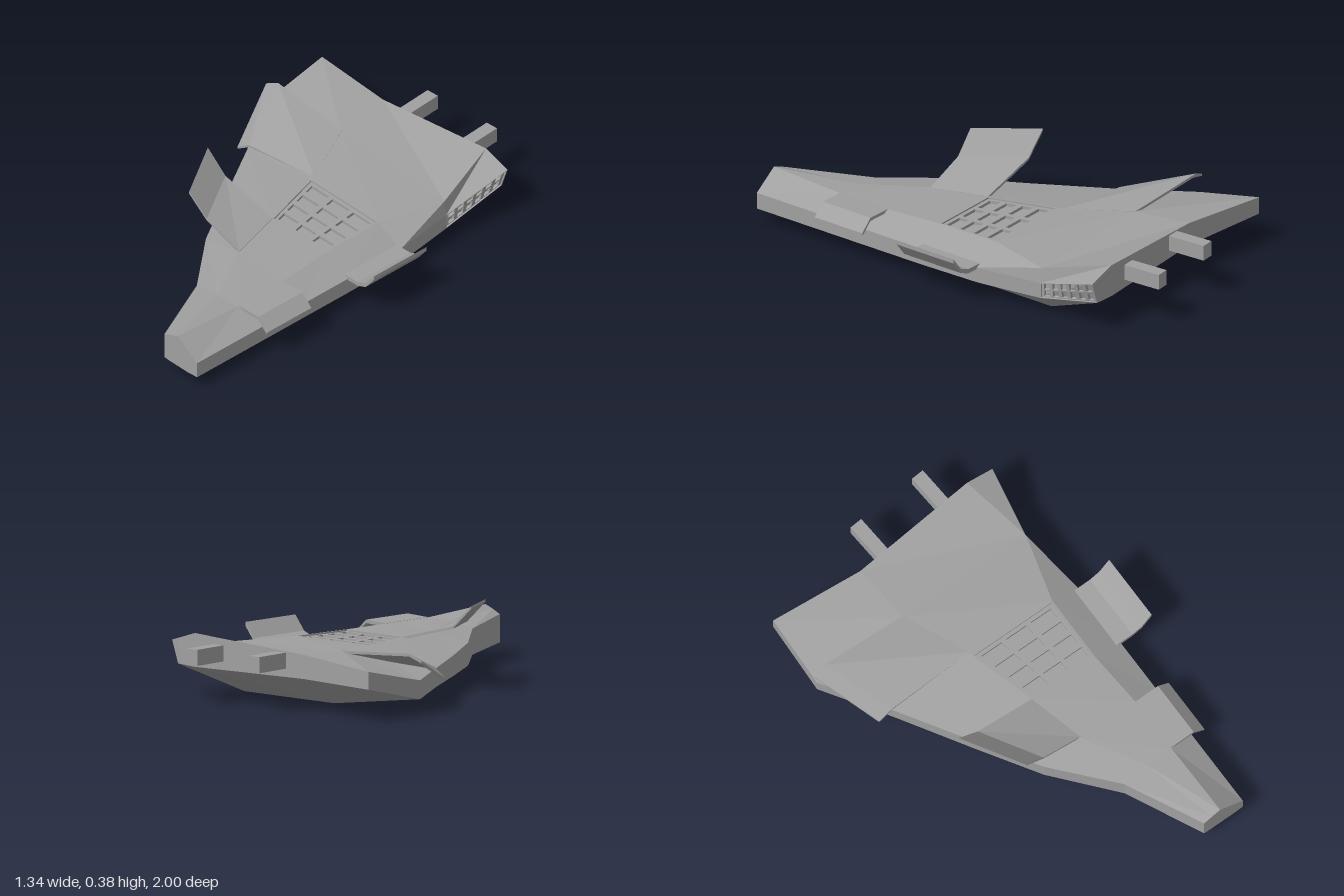
import * as THREE from 'three';

const material = new THREE.MeshStandardMaterial({ color: 0xa0a0a0, flatShading: true, side: THREE.DoubleSide });
const vec = (p) => new THREE.Vector3(...p);

function addMesh(group, name, geometry) {
  const mesh = new THREE.Mesh(geometry, material);
  mesh.name = name;
  group.add(mesh);
  return mesh;
}

// Joins closed cross-sections (front to back) and caps both ends; open cells are left out
function loft(sections, open = []) {
  const pos = [];
  const quad = (a, b, c, d) => [a, b, c, a, c, d].forEach((p) => pos.push(...p));
  const n = sections[0].length;
  for (let i = 0; i < sections.length - 1; i++) {
    for (let j = 0; j < n; j++) {
      if (open.some(([oi, oj]) => oi === i && oj === j)) continue;
      const k = (j + 1) % n;
      quad(sections[i][j], sections[i + 1][j], sections[i + 1][k], sections[i][k]);
    }
  }
  const first = sections[0], last = sections[sections.length - 1];
  for (let k = 0; k < n / 2 - 1; k++) {
    quad(first[k], first[k + 1], first[n - 2 - k], first[n - 1 - k]);
    quad(last[n - 1 - k], last[n - 2 - k], last[k + 1], last[k]);
  }
  const g = new THREE.BufferGeometry();
  g.setAttribute('position', new THREE.Float32BufferAttribute(pos, 3));
  g.computeVertexNormals();
  return g;
}

// Thin bent plate between a front and a back edge line
function plate(front, back, t = 0.012) {
  const loop = (pts) => [
    ...pts.map(([x, y, z]) => [x, y - t, z]),
    ...pts.slice().reverse(),
  ];
  return loft([loop(front), loop(back)]);
}

// Slotted grille sunk into a four-cornered opening, with a rim around and a floor behind it
function addGrille(group, name, [a, b, c, d], cols, rows) {
  const [A, B, C, D] = [a, b, c, d].map(vec);
  const normal = C.clone().sub(A).cross(D.clone().sub(B)).normalize();
  const place = (geometry, offset) => {
    const p = geometry.attributes.position;
    for (let i = 0; i < p.count; i++) {
      const u = p.getX(i), v = p.getY(i);
      const point = A.clone().lerp(B, u).lerp(D.clone().lerp(C, u), v);
      point.addScaledVector(normal, offset(p.getZ(i)));
      p.setXYZ(i, point.x, point.y, point.z);
    }
    geometry.computeVertexNormals();
    return geometry;
  };
  const rect = (Type, u0, v0, u1, v1) => new Type([
    new THREE.Vector2(u0, v0), new THREE.Vector2(u1, v0),
    new THREE.Vector2(u1, v1), new THREE.Vector2(u0, v1),
  ]);
  const slab = (shape) => new THREE.ExtrudeGeometry(shape, { depth: 1, bevelEnabled: false });

  const rim = rect(THREE.Shape, 0, 0, 1, 1);
  rim.holes.push(rect(THREE.Path, 0.015, 0.015, 0.985, 0.985));
  addMesh(group, name + 'Rim', place(slab(rim), (w) => (w - 1) * 0.022));

  const bars = rect(THREE.Shape, 0.01, 0.01, 0.99, 0.99);
  const du = 0.94 / cols, dv = 0.94 / rows;
  for (let i = 0; i < cols; i++) {
    for (let j = 0; j < rows; j++) {
      const u = 0.03 + i * du, v = 0.03 + j * dv;
      bars.holes.push(rect(THREE.Path, u + du * 0.18, v + dv * 0.09, u + du * 0.82, v + dv * 0.91));
    }
  }
  addMesh(group, name, place(slab(bars), (w) => w * 0.013 - 0.02));
  const floor = new THREE.PlaneGeometry(1, 1).translate(0.5, 0.5, 0);
  addMesh(group, name + 'Floor', place(floor, () => -0.022));
}

export function createModel() {
  const model = new THREE.Group();
  model.name = 'hullFragment';

  // Hull sections: left bottom, belly left, belly right, right bottom,
  // right shoulder, right ridge, middle ridge, left top
  const stations = [
    [1.0, [[0.30, 0.062], [0.33, 0.06], [0.45, 0.06], [0.505, 0.065], [0.505, 0.14], [0.385, 0.22], [0.34, 0.203], [0.30, 0.185]]],
    [0.65, [[0.13, 0.062], [0.18, 0.06], [0.45, 0.06], [0.505, 0.065], [0.505, 0.14], [0.385, 0.2], [0.26, 0.195], [0.13, 0.175]]],
    [0.38, [[-0.1, 0.065], [0, 0.06], [0.42, 0.06], [0.505, 0.065], [0.505, 0.14], [0.385, 0.2], [0.1, 0.198], [-0.1, 0.165]]],
    [0.11, [[-0.27, 0.066], [-0.1, 0.06], [0.38, 0.06], [0.505, 0.065], [0.505, 0.14], [0.365, 0.205], [0.03, 0.205], [-0.27, 0.155]]],
    [-0.2, [[-0.46, 0.068], [-0.15, 0], [0.38, 0], [0.505, 0.07], [0.505, 0.14], [0.365, 0.21], [-0.06, 0.21], [-0.46, 0.15]]],
    [-0.51, [[-0.66, 0.068], [-0.15, 0], [0.38, 0], [0.46, 0.07], [0.46, 0.14], [0.45, 0.21], [-0.2, 0.232], [-0.66, 0.15]]],
    [-0.83, [[-0.66, 0.142], [-0.23, 0.142, -0.785], [0.37, 0.14], [0.47, 0.145], [0.505, 0.245], [0.37, 0.287], [-0.23, 0.247, -0.785], [-0.66, 0.22]]],
  ];
  const hull = stations.map(([z, pts]) => pts.map(([x, y, pz = z]) => [x, y, pz]));
  const cell = (i, j) => [hull[i][j], hull[i + 1][j], hull[i + 1][j + 1], hull[i][j + 1]];
  addMesh(model, 'hull', loft(hull, [[3, 5], [0, 1], [5, 3]]));

  // Grilles in the deck, under the nose and on the rear flank
  addGrille(model, 'deckGrille', cell(3, 5), 4, 3);
  addGrille(model, 'noseBellyGrille', cell(0, 1), 3, 3);
  addGrille(model, 'flankGrille', cell(5, 3), 6, 2);

  // Raised wing panel at the rear, merging into the deck
  addMesh(model, 'rearWingPanel', plate(
    [[-0.54, 0.115, -0.22], [-0.47, 0.16, -0.22], [-0.06, 0.211, -0.22]],
    [[-0.67, 0.235, -0.51], [-0.61, 0.262, -0.525], [-0.2, 0.234, -0.515]],
  ));

  // Upswept flap on the slanted edge
  addMesh(model, 'upsweptFlap', plate(
    [[-0.2, 0.365, 0.385], [-0.1, 0.27, 0.375], [0.1, 0.199, 0.37]],
    [[-0.365, 0.377, 0.12], [-0.26, 0.28, 0.115], [0.03, 0.206, 0.11]],
  ));

  // Bent plates on the straight edge
  const straightPlate = (name, z0, z1, path, t) => addMesh(model, name,
    plate(path.map((p) => [...p, z0]), path.map((p) => [...p, z1]), t));
  straightPlate('sideFlap', 0.11, -0.2, [[0.45, 0.15], [0.565, 0.155], [0.615, 0.175], [0.667, 0.24]], 0.02);
  straightPlate('frontSidePlate', 0.64, 0.38, [[0.385, 0.201], [0.505, 0.205], [0.562, 0.152]], 0.015);

  // Square stubs projecting from the back
  for (const [x, end] of [[-0.11, -0.975], [0.235, -1]]) {
    const stub = addMesh(model, 'rearStub', new THREE.BoxGeometry(0.06, 0.07, 0.2));
    stub.position.set(x, 0.213, end + 0.102);
    stub.rotation.y = 0.07;
  }
  return model;
}
